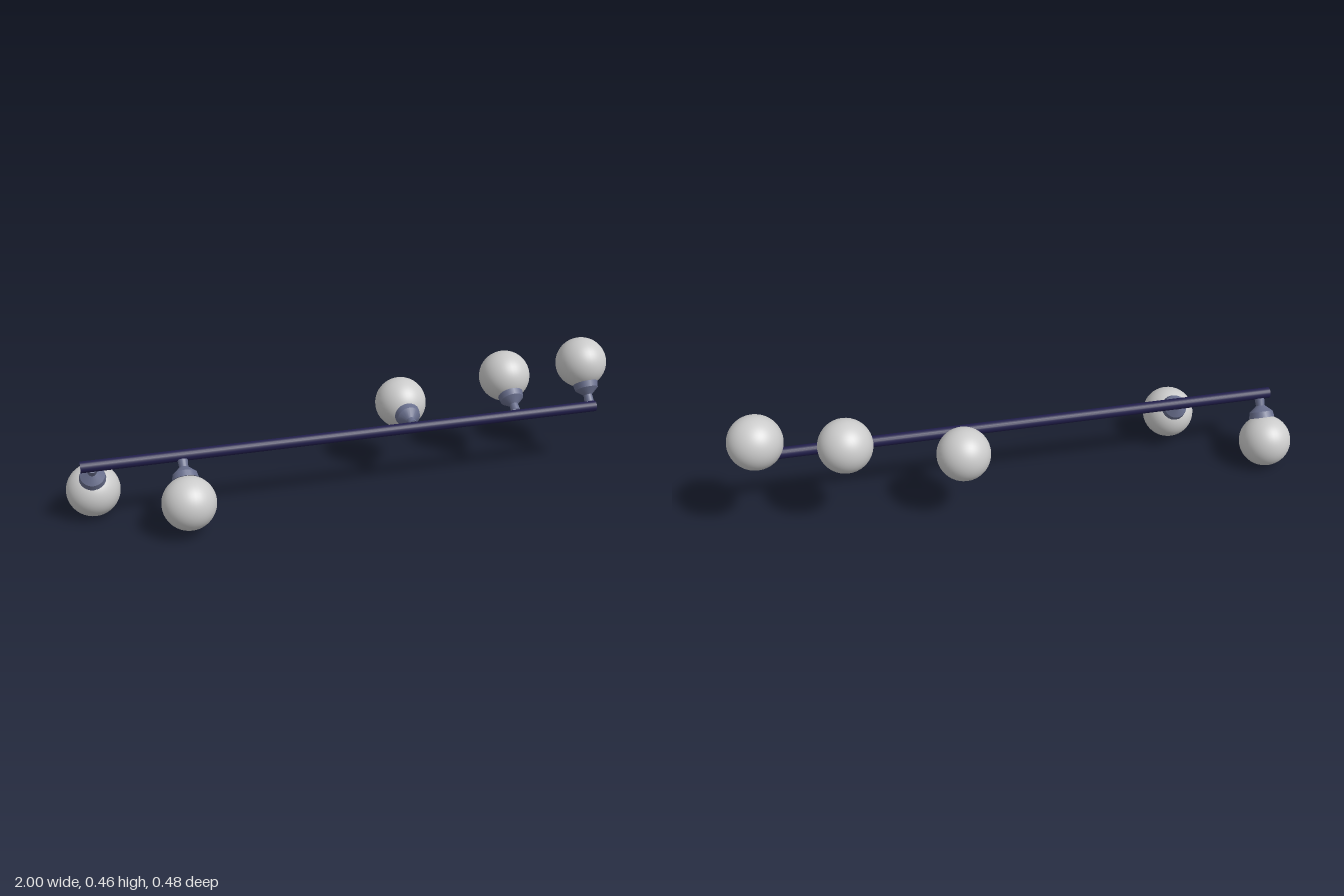
import * as THREE from 'three';

const BAR = { y: 0.235, z: 0.02, radius: 0.02, left: -0.945, right: 0.925 };
const BALL_RADIUS = 0.093;
const BALL_REACH = 0.172; // from the bar axis to the centre of a globe

// Each lamp: position along the bar, and the direction it leans in (y, z)
const LAMPS = [
  { x: -0.907, y: -0.141, z: -0.099 },
  { x: -0.605, y: -0.12, z: 0.127 },
  { x: 0.225, y: 0.023, z: -0.168 },
  { x: 0.617, y: 0.097, z: -0.141 },
  { x: 0.907, y: 0.131, z: -0.108 },
];

export function createModel() {
  const barMat = new THREE.MeshStandardMaterial({ color: 0x211e4c, side: THREE.DoubleSide });
  const socketMat = new THREE.MeshStandardMaterial({ color: 0x686e8c, side: THREE.DoubleSide });
  const globeMat = new THREE.MeshStandardMaterial({ color: 0xcccccc });

  const model = new THREE.Group();
  model.name = 'barLamp';

  // Long open tube carrying the lamps
  const length = BAR.right - BAR.left;
  const barGeo = new THREE.CylinderGeometry(BAR.radius, BAR.radius, length, 20, 1, true);
  const bar = new THREE.Mesh(barGeo.rotateZ(Math.PI / 2), barMat);
  bar.name = 'bar';
  bar.position.set((BAR.left + BAR.right) / 2, BAR.y, BAR.z);
  model.add(bar);

  // Socket sections along the lamp axis: [name, start, end, start radius, end radius]
  const sections = [
    ['neck', 0.018, 0.046, 0.0175, 0.0155],
    ['flare', 0.044, 0.067, 0.0155, 0.042],
    ['collar', 0.067, 0.089, 0.042, 0.046],
  ].map(([name, a, b, r0, r1]) => {
    const geo = new THREE.CylinderGeometry(r1, r0, b - a, 20, 1, name !== 'collar');
    return [name, geo.translate(0, (a + b) / 2, 0)];
  });
  const globeGeo = new THREE.SphereGeometry(BALL_RADIUS, 40, 28).translate(0, BALL_REACH, 0);

  // Lamps, turned about the bar axis
  LAMPS.forEach((spot, i) => {
    const lamp = new THREE.Group();
    lamp.name = `lamp${i + 1}`;
    for (const [name, geo] of sections) {
      const mesh = new THREE.Mesh(geo, socketMat);
      mesh.name = name;
      lamp.add(mesh);
    }
    const globe = new THREE.Mesh(globeGeo, globeMat);
    globe.name = 'globe';
    lamp.add(globe);
    lamp.position.set(spot.x, BAR.y, BAR.z);
    lamp.rotation.x = Math.atan2(spot.z, spot.y);
    model.add(lamp);
  });

  return model;
}
